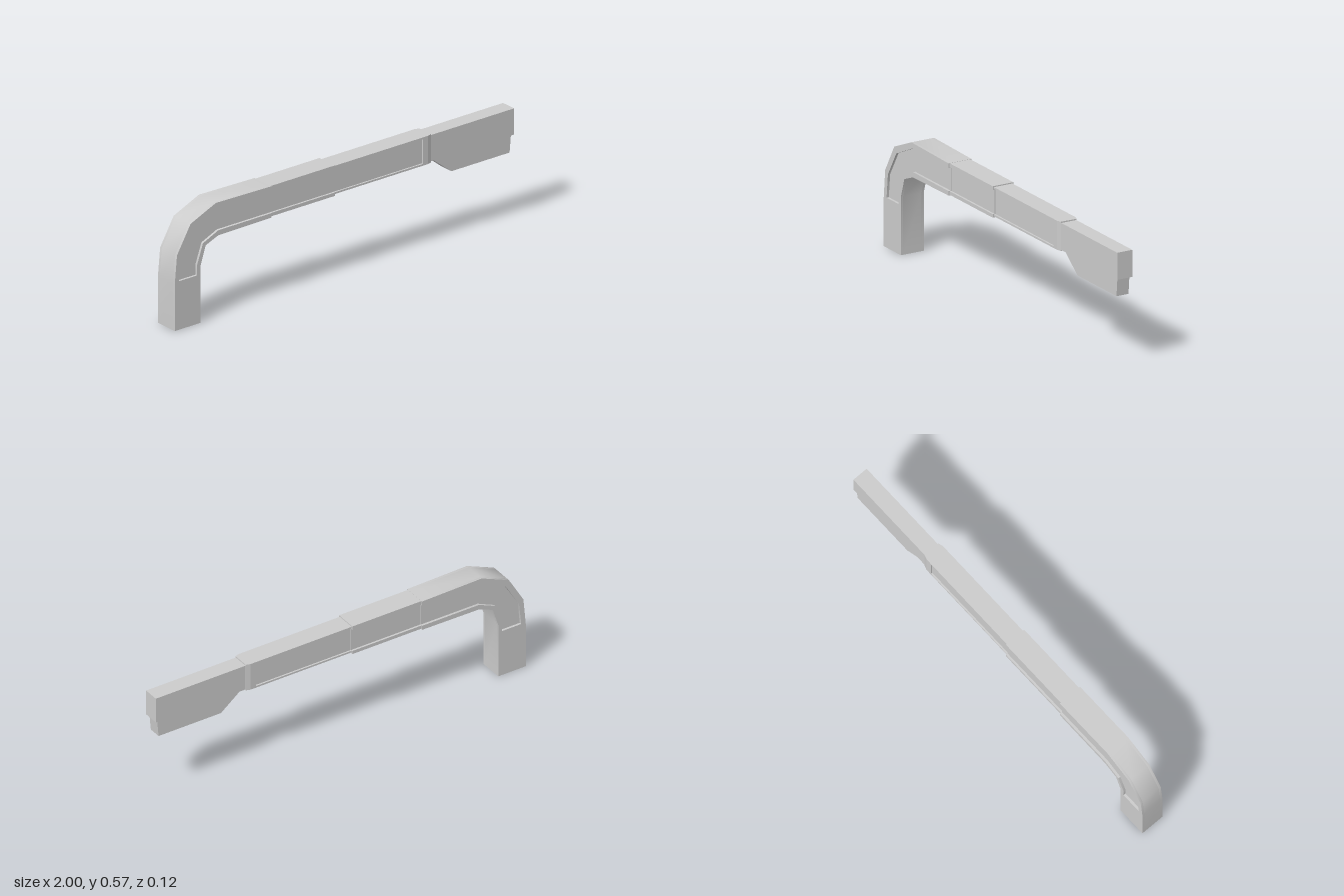
import * as THREE from 'three';
import { toCreasedNormals } from 'three/addons/utils/BufferGeometryUtils.js';

const material = new THREE.MeshStandardMaterial({ color: 0xcccccc });

// Extrude an x-y outline between two z values
function slab(name, points, z0, z1) {
  const shape = new THREE.Shape(points.map(([x, y]) => new THREE.Vector2(x, y)));
  const geometry = new THREE.ExtrudeGeometry(shape, { depth: z1 - z0, bevelEnabled: false });
  geometry.translate(0, 0, z0);
  const mesh = new THREE.Mesh(toCreasedNormals(geometry, 0.75), material);
  mesh.name = name;
  return mesh;
}

const rect = (x0, x1, y0, y1) => [[x0, y0], [x1, y0], [x1, y1], [x0, y1]];

// A core with raised rims on both sides, leaving a recessed panel
function section(name, outline, rims, floor, half) {
  const group = new THREE.Group();
  group.name = name;
  group.add(slab(name + 'Core', outline, -floor, floor));
  for (const rim of rims) {
    group.add(slab(name + 'FrontRim', rim, floor, half));
    group.add(slab(name + 'BackRim', rim, -half, -floor));
  }
  return group;
}

export function createModel() {
  const model = new THREE.Group();
  model.name = 'wiperArm';

  // Bent base: post, elbow and first stretch of the arm
  const lower = [[-0.85, 0], [-0.85, 0.28], [-0.82, 0.375], [-0.745, 0.405], [-0.435, 0.408]];
  const upper = [[-0.435, 0.563], [-0.76, 0.569], [-0.908, 0.505], [-0.987, 0.37], [-1, 0.23], [-1, 0]];
  const panel = [
    [-0.435, 0.43], [-0.745, 0.43], [-0.835, 0.39], [-0.87, 0.29], [-0.87, 0.24],
    [-0.975, 0.24], [-0.963, 0.355], [-0.89, 0.477], [-0.75, 0.542], [-0.435, 0.54],
  ];
  model.add(section('bentBase', [...lower, ...upper], [[...lower, ...panel, ...upper]], 0.049, 0.061));

  // Middle section with open-ended side channels
  model.add(section('middleSection', rect(-0.435, -0.06, 0.411, 0.562),
    [rect(-0.435, -0.06, 0.411, 0.428), rect(-0.435, -0.06, 0.543, 0.562)], 0.045, 0.055));

  // Outer section, its channel closed by a collar
  const [y0, y1] = [0.417, 0.557];
  const rim = [
    [-0.06, y0], [0.49, y0], [0.49, y1], [-0.06, y1],
    [-0.06, 0.548], [0.46, 0.548], [0.46, 0.426], [-0.06, 0.426],
  ];
  model.add(section('outerSection', rect(-0.06, 0.49, y0, y1), [rim], 0.041, 0.049));

  // Tapered end of the collar
  const taper = new THREE.BoxGeometry(0.022, y1 - y0, 0.098);
  const p = taper.attributes.position;
  for (let i = 0; i < p.count; i++) if (p.getX(i) > 0) p.setZ(i, p.getZ(i) * 0.86);
  taper.computeVertexNormals();
  const collar = new THREE.Mesh(taper, material);
  collar.name = 'collarTaper';
  collar.position.set(0.501, (y0 + y1) / 2, 0);
  model.add(collar);

  // Blade holder and the narrower blade beneath it
  model.add(slab('bladeHolder', rect(0.51, 1, 0.421, 0.551), -0.04, 0.04));
  model.add(slab('blade', [[0.64, 0.335], [0.98, 0.335], [0.988, 0.422], [0.53, 0.422]], -0.032, 0.032));
  return model;
}
